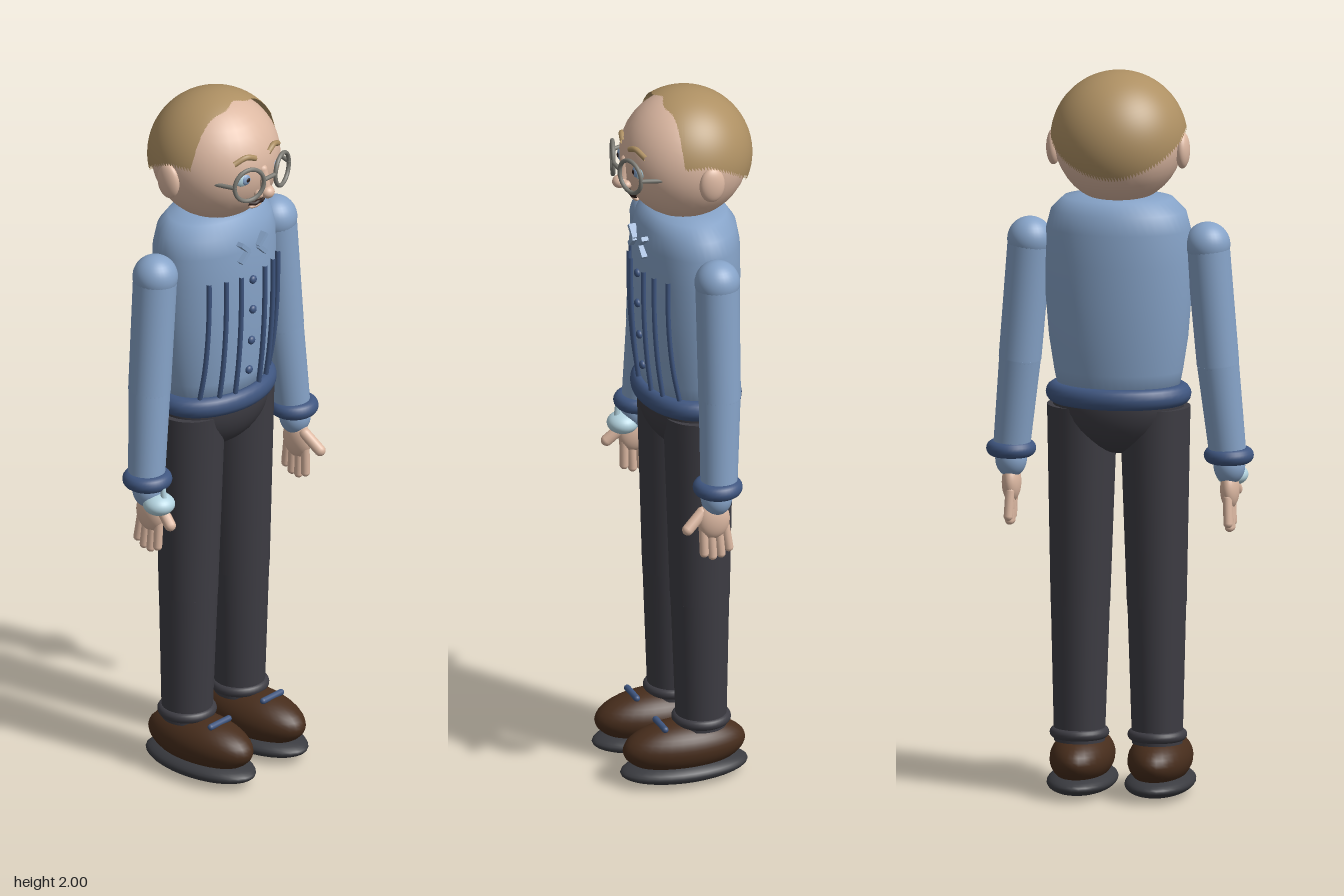
import * as THREE from 'three';

const mat = (name, color) => Object.assign(new THREE.MeshStandardMaterial({ color }), { name });
const V = (x, y, z) => new THREE.Vector3(x, y, z);

export function createModel() {
  const skin = mat('skin', 0xdcb8a2), hair = mat('hair', 0xae9063), shirt = mat('shirt blue', 0x86a3c8);
  const navy = mat('navy trim', 0x3f5680), trouser = mat('charcoal trousers', 0x3d3c43);
  const sole = mat('sole grey', 0x3a3b40), shoe = mat('shoe brown', 0x472d1c);
  const metal = mat('metal', 0x7c7b74), pale = mat('pale blue', 0xb4d4e0), dark = mat('dark brown', 0x2c1c18);
  hair.side = THREE.DoubleSide;

  const model = new THREE.Group();
  let parent = model;
  const add = (name, geo, m, x = 0, y = 0, z = 0) => {
    const mesh = new THREE.Mesh(geo, m);
    mesh.name = name;
    mesh.position.set(x, y, z);
    parent.add(mesh);
    return mesh;
  };
  const group = (name) => {
    parent = new THREE.Group();
    parent.name = name;
    model.add(parent);
  };
  const ball = (name, m, x, y, z, rx, ry = rx, rz = rx) => {
    const mesh = add(name, new THREE.SphereGeometry(1, 32, 20), m, x, y, z);
    mesh.scale.set(rx, ry, rz);
    return mesh;
  };
  // Tapered limb from a to b
  const limb = (name, m, a, b, ra, rb) => {
    const d = b.clone().sub(a);
    const mesh = add(name, new THREE.CylinderGeometry(rb, ra, d.length(), 28), m);
    mesh.position.copy(a).addScaledVector(d, 0.5);
    mesh.quaternion.setFromUnitVectors(V(0, 1, 0), d.normalize());
    return mesh;
  };
  // Round-ended rod from a to b
  const rod = (name, m, a, b, r) => {
    const d = b.clone().sub(a);
    const mesh = add(name, new THREE.CapsuleGeometry(r, d.length(), 6, 14), m);
    mesh.position.copy(a).addScaledVector(d, 0.5);
    mesh.quaternion.setFromUnitVectors(V(0, 1, 0), d.normalize());
    return mesh;
  };
  const tube = (name, m, pts, r) =>
    add(name, new THREE.TubeGeometry(new THREE.CatmullRomCurve3(pts), 20, r, 8), m);
  const ring = (name, m, x, y, z, R, t) => {
    const mesh = add(name, new THREE.TorusGeometry(R, t, 16, 40), m, x, y, z);
    mesh.rotation.x = Math.PI / 2;
    return mesh;
  };

  // Torso, belt and hips
  group('body');
  const CZ = -0.027, DEPTH = 0.69;
  const profile = [[0.001, 1.1], [0.16, 1.1], [0.176, 1.18], [0.19, 1.27], [0.199, 1.38], [0.2, 1.48],
    [0.198, 1.57], [0.185, 1.62], [0.15, 1.655], [0.09, 1.664], [0.001, 1.666]];
  const torso = add('torso', new THREE.LatheGeometry(profile.map(p => new THREE.Vector2(...p)), 48), shirt, 0, 0, CZ);
  torso.scale.z = DEPTH;
  ring('belt', navy, 0, 1.115, CZ, 0.17, 0.029).scale.y = 0.72;
  ball('hips', trouser, 0, 1.09, CZ, 0.18, 0.142, 0.125);

  // Front of the torso at a given height and offset
  const frontZ = (x, y) => {
    let r = 0.2;
    for (let i = 1; i < profile.length - 1; i++) {
      const [r0, y0] = profile[i], [r1, y1] = profile[i + 1];
      if (y >= y0 && y <= y1) r = r0 + (r1 - r0) * (y - y0) / (y1 - y0);
    }
    return CZ + DEPTH * Math.sqrt(Math.max(0, r * r - x * x));
  };
  for (const s of [-1, 1]) {
    for (const x of [0.048, 0.095, 0.14]) {
      const pts = [1.5, 1.42, 1.33, 1.23, 1.14].map(y => V(s * x, y, frontZ(x, y) + 0.008));
      tube('shirtStripe', navy, pts, 0.007);
    }
    // Collar points
    for (const t of [-1, 1]) {
      const c = add('collarPoint', new THREE.BoxGeometry(0.042, 0.012, 0.02), shirt, s * 0.035, 1.57 + t * 0.014, frontZ(0.035, 1.57) + 0.004);
      c.rotation.z = s * t * 0.75;
    }
  }
  for (const y of [1.475, 1.385, 1.29, 1.198]) ball('button', navy, 0, y, frontZ(0, y) + 0.003, 0.012, 0.012, 0.009);

  // Arms and hands
  for (const s of [-1, 1]) {
    group(s > 0 ? 'leftArm' : 'rightArm');
    ball('shoulder', shirt, s * 0.244, 1.53, -0.024, 0.062);
    const elbow = V(s * 0.272, 1.2, -0.02), wrist = V(s * 0.298, 0.94, -0.008);
    limb('upperArm', shirt, V(s * 0.245, 1.52, -0.024), elbow, 0.06, 0.058);
    ball('elbow', shirt, elbow.x, elbow.y, elbow.z, 0.057);
    limb('forearm', shirt, elbow, wrist, 0.057, 0.05);
    ring('cuff', navy, s * 0.299, 0.946, -0.004, 0.046, 0.022);
    ball('sleeveEnd', shirt, s * 0.3, 0.915, 0, 0.043, 0.05, 0.043);
    ball('palm', skin, s * 0.3, 0.85, 0.008, 0.026, 0.055, 0.046);
    [0.04, 0.013, -0.014, -0.039].forEach((z, i) => {
      const tip = [0.755, 0.744, 0.747, 0.762][i];
      rod('finger', skin, V(s * 0.299, 0.83, z * 0.8 + 0.006), V(s * 0.302, tip, z * 0.9), 0.0125);
    });
    rod('thumb', skin, V(s * 0.296, 0.875, 0.04), V(s * 0.306, 0.835, 0.085), 0.016);
  }
  // Wristwatch on the right arm
  ball('watchBand', pale, -0.301, 0.884, 0.04, 0.044, 0.03, 0.044);
  rod('watchStem', pale, V(-0.301, 0.905, 0.058), V(-0.301, 0.94, 0.054), 0.008);

  // Legs and shoes
  for (const s of [-1, 1]) {
    group(s > 0 ? 'leftLeg' : 'rightLeg');
    const knee = V(s * 0.105, 0.53, -0.027);
    limb('thigh', trouser, V(s * 0.1, 1.08, -0.025), knee, 0.096, 0.081);
    limb('shin', trouser, knee, V(s * 0.107, 0.15, -0.03), 0.08, 0.069);
    ring('trouserHem', trouser, s * 0.107, 0.173, -0.03, 0.066, 0.015);
    ball('shoeUpper', shoe, s * 0.107, 0.098, 0.02, 0.086, 0.072, 0.175);
    ball('shoeSole', sole, s * 0.107, 0.034, 0.02, 0.094, 0.034, 0.182);
    rod('shoelace', navy, V(s * 0.107 - 0.036, 0.165, 0.088), V(s * 0.107 + 0.036, 0.165, 0.088), 0.009);
  }

  // Head
  group('head');
  const HY = 1.815, HZ = -0.021;
  ball('skull', skin, 0, HY - 0.002, HZ, 0.176);

  // Hair shell: straight hairline in front, lower edge falling toward the nape
  const R = 0.186, hairGeo = new THREE.SphereGeometry(R, 128, 24), p = hairGeo.attributes.position;
  for (let j = 0; j <= 24; j++) {
    for (let i = 0; i <= 128; i++) {
      const a = (i / 128) * Math.PI * 2, c = Math.cos(a), sn = Math.sin(a);
      const bottom = c > 0 ? 0.025 : 0.025 - 0.115 * Math.pow(-c, 1.3);
      let edge = Math.acos(bottom / R);
      if (c > 0.3) {
        const wave = 0.069 + 0.006 * Math.cos(a * 6 + Math.PI);
        edge = Math.min(edge, Math.asin(Math.min(1, wave / (R * c))));
      }
      const th = edge * j / 24, k = j * 129 + i;
      p.setXYZ(k, R * Math.sin(th) * sn, R * Math.cos(th), R * Math.sin(th) * c);
      hairGeo.attributes.normal.setXYZ(k, Math.sin(th) * sn, Math.cos(th), Math.sin(th) * c);
    }
  }
  // Keep the triangles facing outward
  const idx = Array.from(hairGeo.index.array), a = V(0, 0, 0), b = V(0, 0, 0), c = V(0, 0, 0);
  for (let i = 0; i < idx.length; i += 3) {
    a.fromBufferAttribute(p, idx[i]); b.fromBufferAttribute(p, idx[i + 1]); c.fromBufferAttribute(p, idx[i + 2]);
    if (b.clone().sub(a).cross(c.clone().sub(a)).dot(a) < 0) [idx[i + 1], idx[i + 2]] = [idx[i + 2], idx[i + 1]];
  }
  hairGeo.setIndex(idx);
  add('hair', hairGeo, hair, 0, HY, HZ);

  for (const s of [-1, 1]) {
    ball('ear', skin, s * 0.177, 1.79, -0.035, 0.02, 0.05, 0.036);
    // Eyes
    ball('eye', pale, s * 0.058, 1.808, 0.122, 0.032, 0.028, 0.024);
    ball('iris', shirt, s * 0.058, 1.808, 0.139, 0.017, 0.017, 0.01);
    ball('pupil', dark, s * 0.058, 1.808, 0.147, 0.007, 0.007, 0.004);
    tube('eyebrow', hair, [V(s * 0.026, 1.862, 0.146), V(s * 0.055, 1.872, 0.139), V(s * 0.09, 1.858, 0.124)], 0.008);
    // Spectacle frame and temple
    const rim = add('spectacleRim', new THREE.TorusGeometry(0.046, 0.006, 10, 36), metal, s * 0.067, 1.8, 0.16);
    rim.rotation.y = s * 0.32;
    rod('spectacleTemple', metal, V(s * 0.11, 1.802, 0.146), V(s * 0.13, 1.802, 0.08), 0.006);
    ball('nostril', skin, s * 0.019, 1.754, 0.153, 0.014, 0.012, 0.014);
  }
  rod('spectacleBridge', metal, V(-0.02, 1.805, 0.174), V(0.02, 1.805, 0.174), 0.006);
  rod('noseBridge', skin, V(0, 1.82, 0.148), V(0, 1.765, 0.16), 0.014);
  ball('noseTip', skin, 0, 1.758, 0.166, 0.02, 0.018, 0.02);
  tube('mouth', dark, [V(-0.034, 1.722, 0.125), V(-0.014, 1.716, 0.132), V(0, 1.718, 0.133), V(0.014, 1.716, 0.132), V(0.034, 1.722, 0.125)], 0.006);
  ball('lowerLip', skin, 0, 1.705, 0.122, 0.024, 0.008, 0.009);

  return model;
}
